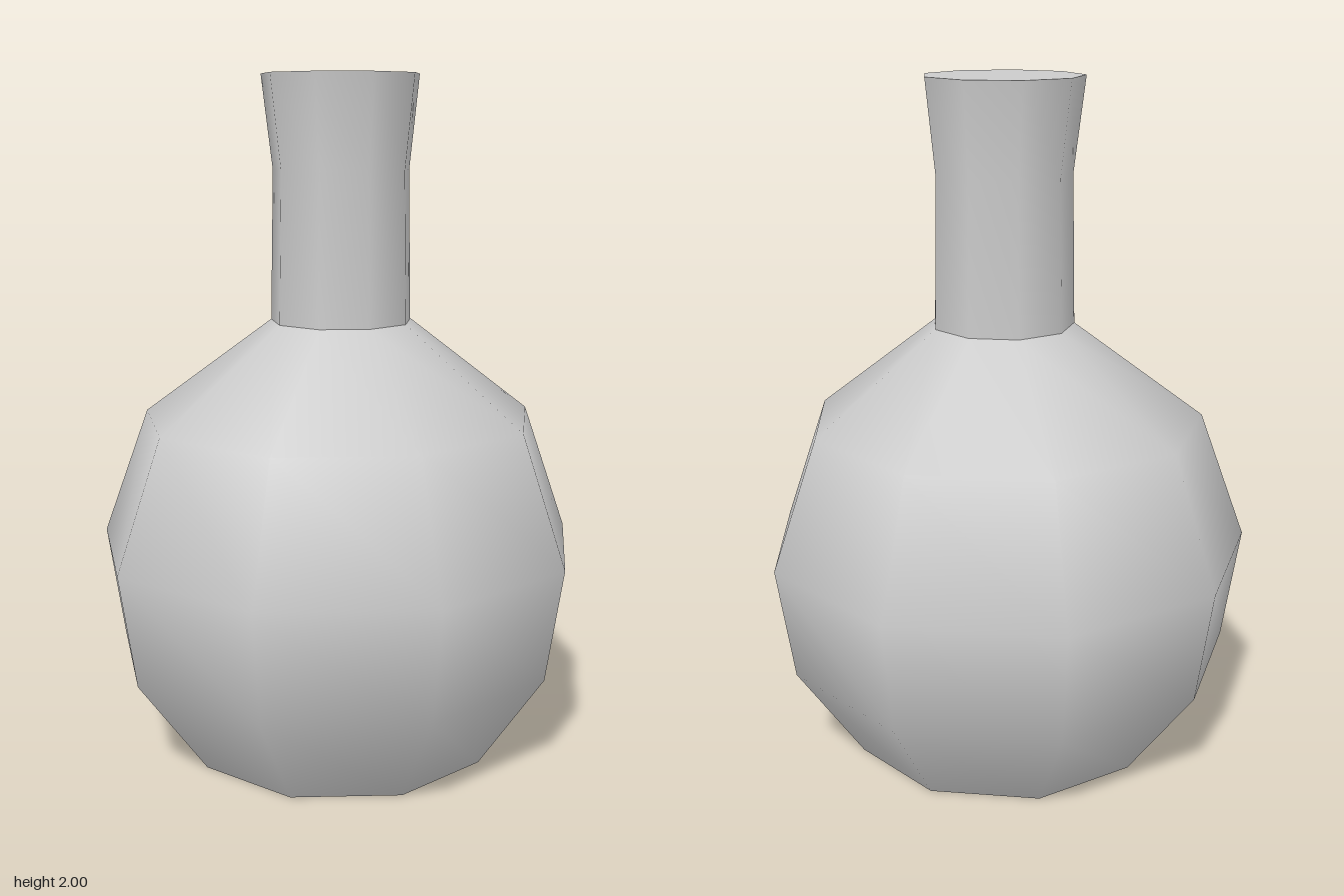
import * as THREE from 'three';

const SIDES = 9;
const material = new THREE.MeshStandardMaterial({ color: 0xcccccc });

// Rings from bottom to top: radius, height, sideways shift
const bodyRings = [
  [0.463, 0, -0.014], [0.67, 0.295, -0.022], [0.722, 0.63, -0.022],
  [0.585, 1.01, -0.019], [0.209, 1.295, -0.009],
];
const neckRings = [
  [0.209, 1.295, -0.009], [0.201, 1.73, -0.008], [0.232, 2, -0.01],
];

// Smooth nine-sided wall, with a corner facing +x
function wall(name, rings) {
  const profile = rings.map(([r, y]) => new THREE.Vector2(r, y));
  const geometry = new THREE.LatheGeometry(profile, SIDES, Math.PI / 2);
  const pos = geometry.attributes.position;
  for (let i = 0; i < pos.count; i++) {
    pos.setX(i, pos.getX(i) + rings[i % rings.length][2]);
  }
  const mesh = new THREE.Mesh(geometry, material);
  mesh.name = name;
  return mesh;
}

// Flat cap closing a ring, facing up or down
function cap(name, [r, y, shift], up) {
  const geometry = new THREE.CircleGeometry(r, SIDES);
  geometry.rotateX(up ? -Math.PI / 2 : Math.PI / 2);
  geometry.translate(shift, y, 0);
  const mesh = new THREE.Mesh(geometry, material);
  mesh.name = name;
  return mesh;
}

export function createModel() {
  const flask = new THREE.Group();
  flask.name = 'flask';
  flask.add(
    wall('body', bodyRings),
    wall('neck', neckRings),
    cap('base', bodyRings[0], false),
    cap('mouth', neckRings[neckRings.length - 1], true),
  );
  return flask;
}
